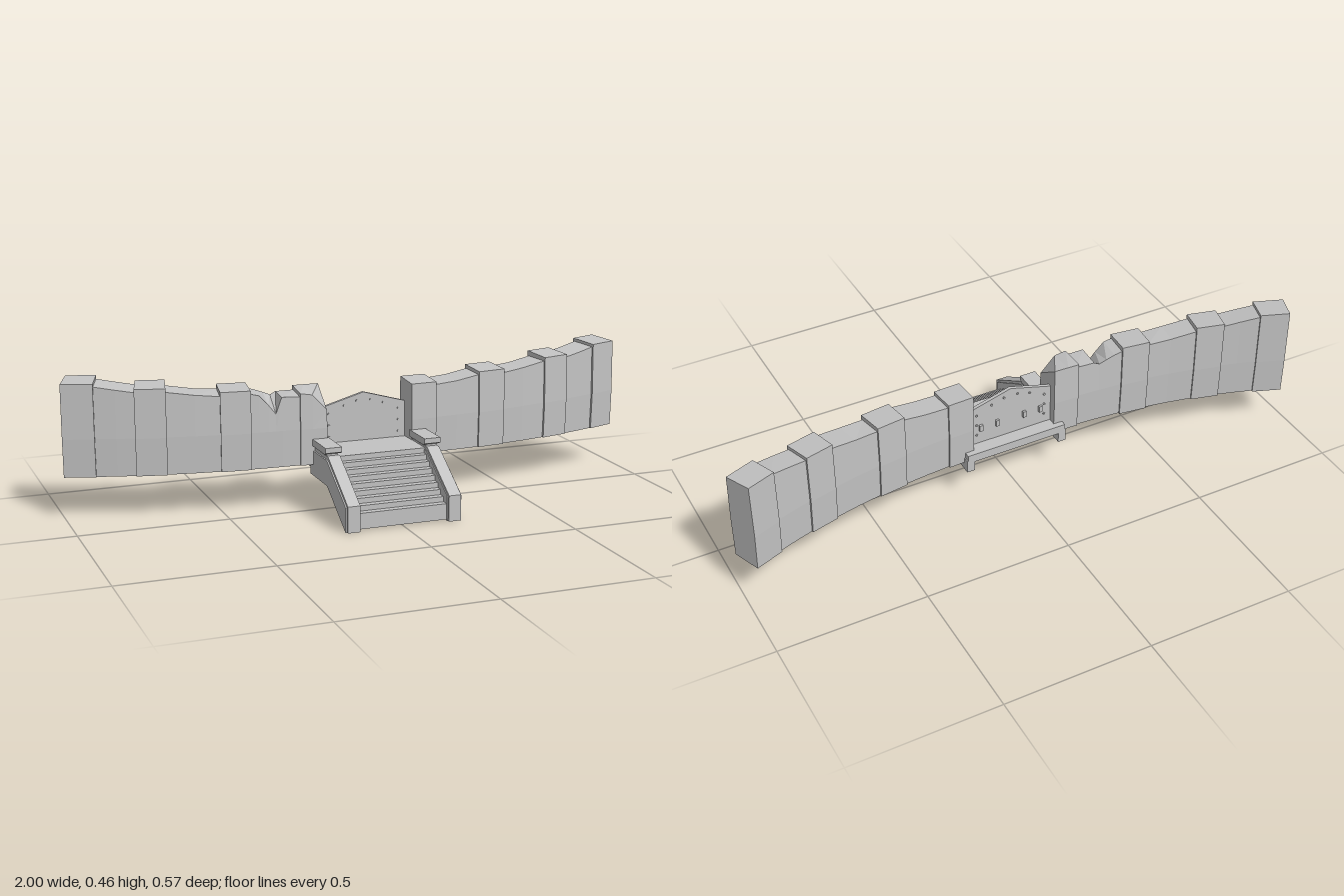
import * as THREE from 'three';

const stone = new THREE.MeshStandardMaterial({ color: 0xc2c2c2, flatShading: true });
stone.name = 'grey stone';

function add(parent, name, geometry, x = 0, y = 0, z = 0) {
  const mesh = new THREE.Mesh(geometry, stone);
  mesh.name = name;
  mesh.position.set(x, y, z);
  parent.add(mesh);
  return mesh;
}

// Box given by its lower and upper limits
function block(parent, name, [x0, x1], [y0, y1], [z0, z1]) {
  return add(parent, name, new THREE.BoxGeometry(x1 - x0, y1 - y0, z1 - z0),
    (x0 + x1) / 2, (y0 + y1) / 2, (z0 + z1) / 2);
}

// Side profile of [z, y] points, extruded from x0 to x1
function sideProfile(parent, name, points, x0, x1) {
  const shape = new THREE.Shape(points.map(([z, y]) => new THREE.Vector2(-z, y)));
  const geometry = new THREE.ExtrudeGeometry(shape, { depth: x1 - x0, bevelEnabled: false });
  geometry.rotateY(Math.PI / 2);
  return add(parent, name, geometry, x0);
}

// Loft along the wall's curved plan; stations are [x, front top, back top] with x rising
function wallPiece(parent, name, stations, half) {
  const rings = stations.map(([x, front, back]) => {
    const a = Math.abs(x);
    const z = -0.08 - 0.165 * a ** 2.5;
    const slope = -0.4125 * a ** 1.5 * Math.sign(x);
    const len = Math.hypot(1, slope);
    const base = 0.149 - 0.007 * a;
    const at = (d, y) => [x - slope * d / len, y, z + d / len];
    return [
      at(half - 0.003, base), at(half, 0.27), at(half - 0.003, front),
      at(-half + 0.003, back), at(-half, 0.27), at(-half + 0.003, base),
    ];
  });
  const pos = [];
  const tri = (a, b, c) => pos.push(...a, ...b, ...c);
  for (let i = 0; i + 1 < rings.length; i++) {
    for (let j = 0; j < 6; j++) {
      const k = (j + 1) % 6, p = rings[i], q = rings[i + 1];
      tri(p[j], q[j], q[k]);
      tri(p[j], q[k], p[k]);
    }
  }
  const first = rings[0], last = rings[rings.length - 1];
  for (let j = 1; j < 5; j++) {
    tri(first[0], first[j], first[j + 1]);
    tri(last[0], last[j + 1], last[j]);
  }
  const geometry = new THREE.BufferGeometry();
  geometry.setAttribute('position', new THREE.Float32BufferAttribute(pos, 3));
  geometry.computeVertexNormals();
  return add(parent, name, geometry);
}

export function createModel() {
  const model = new THREE.Group();
  model.name = 'curvedWallWithStairs';

  // Curved walls: four piers with lower, thinner panels between them
  const piers = [
    [0.15, 0.24, 0.393, 0.401], [0.402, 0.5, 0.412, 0.42],
    [0.668, 0.764, 0.432, 0.441], [0.885, 0.981, 0.451, 0.46],
  ];
  const panels = [
    [[0.235, 0.382, 0.388], [0.32, 0.388, 0.394], [0.41, 0.402, 0.408]],
    [[0.495, 0.397, 0.405], [0.58, 0.406, 0.41], [0.675, 0.42, 0.424]],
    [[0.758, 0.42, 0.428], [0.82, 0.43, 0.438], [0.89, 0.442, 0.45]],
  ];
  const brokenPier = [[-0.24, 0.392, 0.4], [-0.2, 0.385, 0.4], [-0.15, 0.33, 0.4]];
  const brokenPanel = [
    [-0.41, 0.402, 0.405], [-0.375, 0.393, 0.396], [-0.345, 0.36, 0.385],
    [-0.32, 0.328, 0.375], [-0.3, 0.383, 0.385], [-0.235, 0.38, 0.386],
  ];
  for (const side of [1, -1]) {
    const wall = new THREE.Group();
    wall.name = side > 0 ? 'leftWall' : 'rightWall';
    model.add(wall);
    const turn = (list) => (side > 0 ? list : list.map(([x, f, b]) => [-x, f, b]).reverse());
    piers.forEach(([x0, x1, f, b], i) => {
      const list = turn([[x0, f, b], [x1, f, b]]);
      wallPiece(wall, 'wallPier', side < 0 && i === 0 ? brokenPier : list, 0.052);
    });
    panels.forEach((list, i) => {
      wallPiece(wall, 'wallPanel', side < 0 && i === 0 ? brokenPanel : turn(list), 0.046);
    });
  }

  // Gabled back plate with rivets
  const gable = new THREE.Shape([[-0.16, 0.18], [0.16, 0.18], [0.16, 0.32], [0.145, 0.325],
    [0, 0.366], [-0.145, 0.325], [-0.16, 0.32]].map(([x, y]) => new THREE.Vector2(x, y)));
  add(model, 'backPlate', new THREE.ExtrudeGeometry(gable, { depth: 0.012, bevelEnabled: false }), 0, 0, -0.104);
  const rivet = new THREE.CylinderGeometry(0.004, 0.004, 0.02, 6).rotateX(Math.PI / 2);
  for (const side of [1, -1]) {
    for (const [x, y] of [[0.125, 0.22], [0.125, 0.26], [0.125, 0.3], [0.07, 0.325], [0.025, 0.338]]) {
      add(model, 'plateRivet', rivet, side * x, y, -0.098);
    }
    block(model, 'backPeg', [side * 0.05 - 0.006, side * 0.05 + 0.006], [0.235, 0.258], [-0.112, -0.1]);
    block(model, 'backPeg', [side * 0.11 - 0.006, side * 0.11 + 0.006], [0.235, 0.258], [-0.112, -0.1]);
  }

  // Landing, rear ledge and its brackets
  block(model, 'landing', [-0.155, 0.155], [0.165, 0.2], [-0.1, 0.08]);
  block(model, 'rearLedge', [-0.18, 0.18], [0.155, 0.185], [-0.152, -0.1]);
  for (const side of [1, -1]) {
    block(model, 'ledgeBracket', [side * 0.17 - 0.014, side * 0.17 + 0.014], [0.12, 0.165], [-0.152, -0.065]);
  }

  // Stair flight with stepped top and underside
  const top = [], under = [];
  for (let i = 0; i < 8; i++) {
    const y = 0.06 + 0.0175 * i, z = 0.27 - 0.024 * i;
    top.push([z, y], [z - 0.024, y]);
  }
  for (let i = 0; i < 6; i++) {
    const y = 0.007 + 0.0176 * i, z = 0.235 - 0.027 * i;
    under.push([z, y], [z, y + 0.0176]);
  }
  const flight = [[0.27, 0.007], ...top, [0.078, 0.2], [0.07, 0.2], [0.07, 0.1126], ...under.reverse()];
  sideProfile(model, 'stairs', flight, -0.155, 0.155);

  // Sloping side walls, each with a narrower raised inner band and a capped parapet
  const cheek = [[0.275, 0.002], [0.275, 0.085], [0.27, 0.09], [0.1, 0.195], [-0.065, 0.195],
    [-0.065, 0.11], [0.1, 0.11]];
  const band = [[0.285, 0.003], [0.285, 0.09], [0.1, 0.206], [-0.06, 0.206],
    [-0.06, 0.115], [0.1, 0.115], [0.275, 0.003]];
  for (const side of [1, -1]) {
    const span = (a, b) => (side > 0 ? [a, b] : [-b, -a]);
    sideProfile(model, 'stairSide', cheek, ...span(0.15, 0.2));
    sideProfile(model, 'stairSideBand', band, ...span(0.153, 0.195));
    block(model, 'parapetBase', span(0.155, 0.193), [0.2, 0.214], [-0.035, 0.083]);
    const cap = [[0.096, 0.235], [-0.035, 0.235], [-0.035, 0.212], [0.083, 0.212], [0.096, 0.218]];
    sideProfile(model, 'parapetCap', cap, ...span(0.145, 0.202));
  }
  return model;
}
